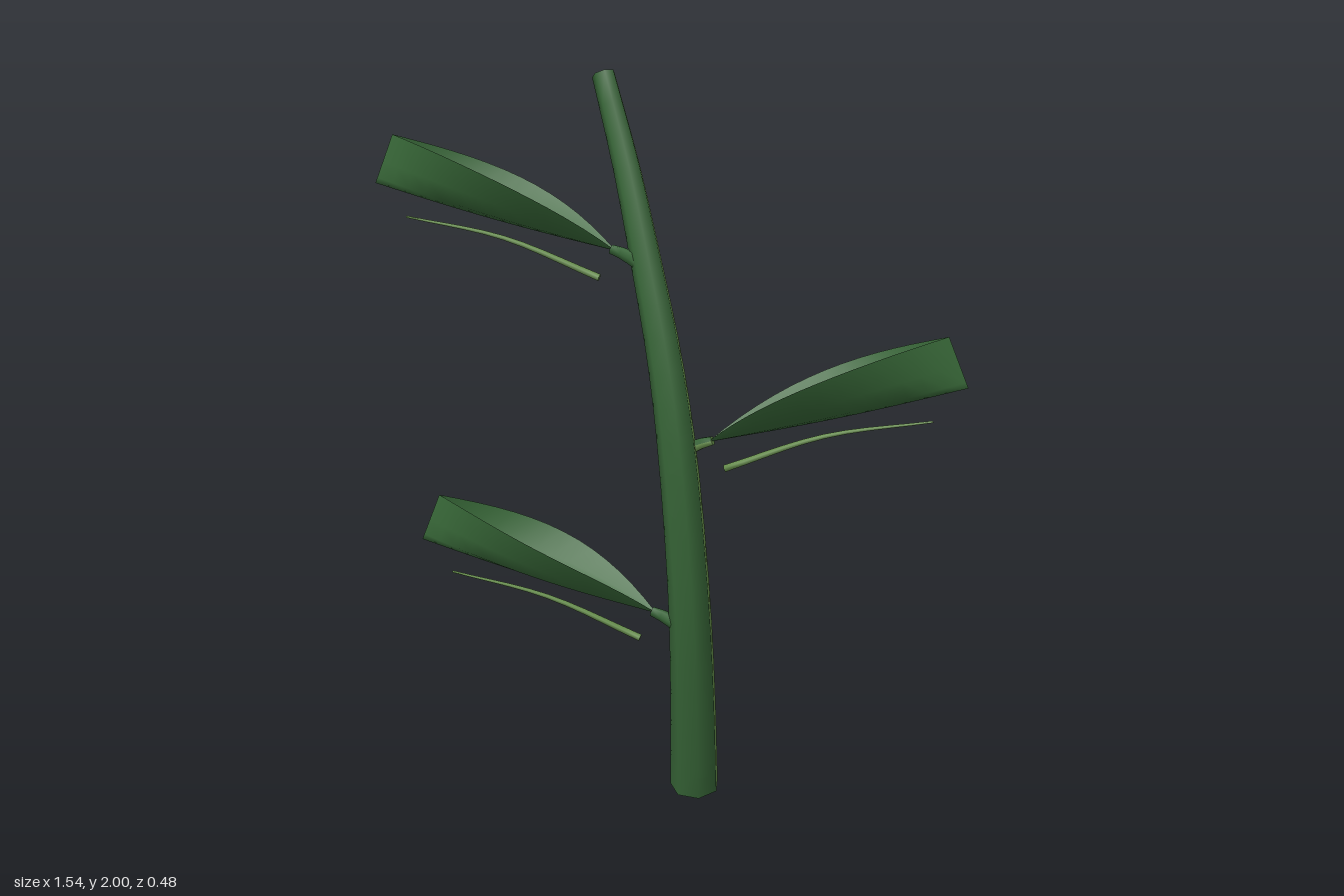
import * as THREE from 'three';

const V = (x, y, z) => new THREE.Vector3(x, y, z);
const green = new THREE.MeshStandardMaterial({ color: 0x376537 });
green.name = 'dark green';
const leafGreen = new THREE.MeshStandardMaterial({ color: 0x386838, side: THREE.DoubleSide });
leafGreen.name = 'leaf green';
const light = new THREE.MeshStandardMaterial({ color: 0x668f4a });
light.name = 'light green';

// Tapered tube along a curve; the first side strip and the end caps are group 1
function taperedTube(points, r0, r1, steps, sides, ref) {
  const curve = new THREE.CatmullRomCurve3(points);
  const pos = [], body = [], accent = [];
  const ring = (t) => {
    const c = curve.getPoint(t), T = curve.getTangent(t);
    const e1 = ref.clone().addScaledVector(T, -ref.dot(T)).normalize();
    const e2 = T.clone().cross(e1);
    const r = r0 + (r1 - r0) * t;
    for (let k = 0; k < sides; k++) {
      const a = (k / sides) * Math.PI * 2;
      const p = c.clone().addScaledVector(e1, r * Math.cos(a)).addScaledVector(e2, r * Math.sin(a));
      pos.push(p.x, p.y, p.z);
    }
    return c;
  };
  for (let i = 0; i <= steps; i++) ring(i / steps);
  for (let i = 0; i < steps; i++) {
    for (let k = 0; k < sides; k++) {
      const a = i * sides + k, b = i * sides + (k + 1) % sides;
      (k === 0 ? accent : body).push(a, b, b + sides, a, b + sides, a + sides);
    }
  }
  for (const t of [0, 1]) {
    const start = pos.length / 3;
    const c = ring(t);
    pos.push(c.x, c.y, c.z);
    for (let k = 0; k < sides; k++) {
      const a = start + k, b = start + (k + 1) % sides, m = start + sides;
      accent.push(...(t ? [m, a, b] : [m, b, a]));
    }
  }
  const g = new THREE.BufferGeometry();
  g.setAttribute('position', new THREE.Float32BufferAttribute(pos, 3));
  g.setIndex([...body, ...accent]);
  g.addGroup(0, body.length, 0);
  g.addGroup(body.length, accent.length, 1);
  g.computeVertexNormals();
  return g;
}

// Cupped blade: pointed in plan, rims rising above the keel towards the tip
function bladeGeometry() {
  const g = new THREE.PlaneGeometry(1, 1, 6, 14);
  const p = g.attributes.position;
  const across = V(0.335, 0, 0.94), rise = V(0.05, 0.13, -0.018);
  for (let i = 0; i < p.count; i++) {
    const u = p.getX(i) * 2, t = p.getY(i) + 0.5;
    const s = Math.max(0, Math.sin(Math.PI * t));
    const q = V(-0.635 * t, 0.17 * t - 0.008 * s, 0.22 * t)
      .addScaledVector(across, u * 0.112 * s)
      .addScaledVector(rise, u * u * (1 - Math.pow(1 - t, 2.5)));
    p.setXYZ(i, q.x, q.y, q.z);
  }
  g.computeVertexNormals();
  return g;
}

function add(parent, name, geometry, material) {
  const mesh = new THREE.Mesh(geometry, material);
  mesh.name = name;
  parent.add(mesh);
}

export function createModel() {
  const group = new THREE.Group();
  group.name = 'leafyBranch';

  // Curved seven-sided stem
  const stemPath = [
    V(0.053, 0.015, -0.1), V(0.08, 0.3, -0.045), V(0.093, 0.6, 0), V(0.068, 1, 0.022),
    V(0.022, 1.25, 0.012), V(-0.052, 1.5, -0.015), V(-0.14, 1.75, -0.055), V(-0.24, 1.988, -0.098),
  ];
  add(group, 'stem', taperedTube(stemPath, 0.07, 0.032, 20, 7, V(1, 0, 0)), [green, light]);

  // Leaves alternate from side to side
  const blade = bladeGeometry();
  const stalk = taperedTube([V(0.075, -0.035, -0.015), V(0.03, -0.01, -0.005), V(-0.012, 0.004, 0.004)],
    0.022, 0.013, 3, 6, V(0, 0, -1));
  const rib = taperedTube([V(-0.04, -0.072, 0.02), V(-0.29, 0.028, 0.105), V(-0.555, 0.08, 0.19)],
    0.01, 0.003, 10, 5, V(0, 1, 0));
  const places = [
    [-0.002, 0.548, 0.018, 0],
    [0.138, 1.037, -0.015, Math.PI],
    [-0.132, 1.53, 0.012, 0],
  ];
  for (const [x, y, z, turn] of places) {
    const leaf = new THREE.Group();
    leaf.name = 'leaf';
    leaf.position.set(x, y, z);
    leaf.rotation.y = turn;
    add(leaf, 'blade', blade, leafGreen);
    add(leaf, 'leafStalk', stalk, [green, light]);
    add(leaf, 'midrib', rib, [light, light]);
    group.add(leaf);
  }
  return group;
}
